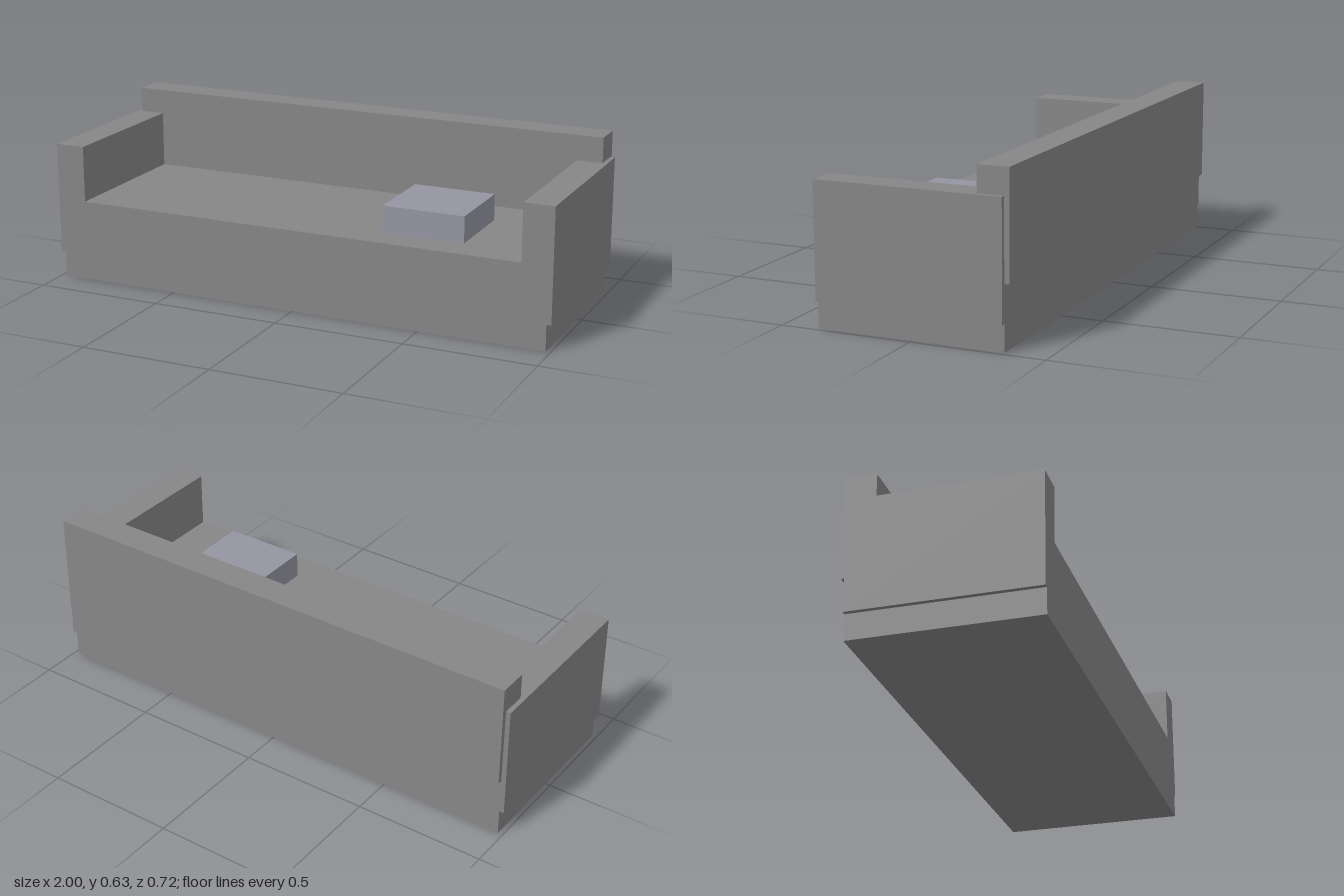
import * as THREE from 'three';

const fabric = new THREE.MeshStandardMaterial({ color: 0x868686, flatShading: true });
const cushionFabric = new THREE.MeshStandardMaterial({ color: 0x9595a3, flatShading: true });

// Box given by its [min, max] extent along each axis
function block(name, [x0, x1], [y0, y1], [z0, z1], material = fabric) {
  const mesh = new THREE.Mesh(new THREE.BoxGeometry(x1 - x0, y1 - y0, z1 - z0), material);
  mesh.position.set((x0 + x1) / 2, (y0 + y1) / 2, (z0 + z1) / 2);
  mesh.name = name;
  return mesh;
}

export function createModel() {
  const sofa = new THREE.Group();
  sofa.name = 'sofa';
  const depth = [-0.343, 0.362];

  // Seat base down to the floor
  sofa.add(block('seatBase', [-0.982, 0.982], [0, 0.313], depth));

  // Backrest, slightly proud of the rear of the base
  sofa.add(block('backrest', [-0.982, 0.982], [0.235, 0.627], [-0.362, -0.245]));

  // Armrests, overhanging the sides of the base
  sofa.add(block('leftArmrest', [0.884, 1], [0.099, 0.53], depth));
  sofa.add(block('rightArmrest', [-1, -0.884], [0.099, 0.53], depth));

  // Loose cushion lying on the seat
  sofa.add(block('cushion', [0.309, 0.627], [0.313, 0.414], [-0.071, 0.242], cushionFabric));

  return sofa;
}
